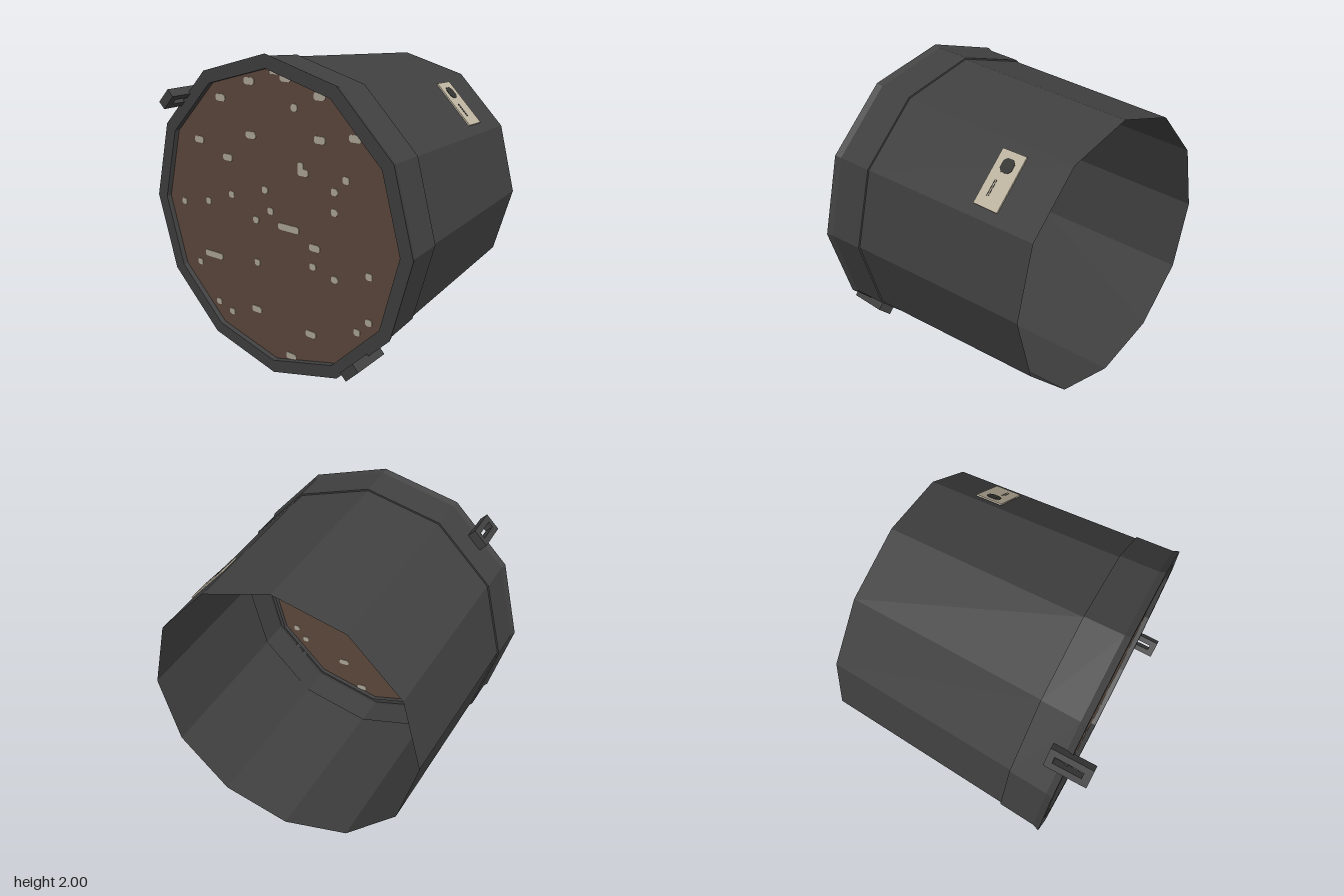
import * as THREE from 'three';

const plastic = new THREE.MeshStandardMaterial({ color: 0x404040, side: THREE.DoubleSide });
plastic.name = 'dark plastic';
const soilBrown = new THREE.MeshStandardMaterial({ color: 0x5d493d, side: THREE.DoubleSide });
soilBrown.name = 'soil brown';
const pebbleGrey = new THREE.MeshStandardMaterial({ color: 0xb0a999 });
pebbleGrey.name = 'pebble grey';
const labelCream = new THREE.MeshStandardMaterial({ color: 0xbfb5a1 });
labelCream.name = 'label cream';
const ink = new THREE.MeshStandardMaterial({ color: 0x343432 });
ink.name = 'ink';

const SIDES = 12;

function add(parent, name, geometry, material) {
  const mesh = new THREE.Mesh(geometry, material);
  mesh.name = name;
  parent.add(mesh);
  return mesh;
}

// Faceted twelve-sided shell around the z axis from [radius, z] pairs
function shell(profile) {
  const points = profile.map(([r, z]) => new THREE.Vector2(r, z));
  const g = new THREE.LatheGeometry(points, SIDES).rotateX(Math.PI / 2).toNonIndexed();
  g.computeVertexNormals();
  return g;
}

// Thin plate with clipped corners, lying in XY and centred on z = 0
function chip(w, h, thick) {
  const c = Math.min(w, h) * 0.25, x = w / 2, y = h / 2;
  const corners = [[-x + c, -y], [x - c, -y], [x, -y + c], [x, y - c],
    [x - c, y], [-x + c, y], [-x, y - c], [-x, -y + c]];
  const shape = new THREE.Shape(corners.map(([a, b]) => new THREE.Vector2(a, b)));
  return new THREE.ExtrudeGeometry(shape, { depth: thick, bevelEnabled: false })
    .translate(0, 0, -thick / 2);
}

// Handle tab: a plate with a long slot, turned to lie on the rim
function tabGeometry() {
  const rect = (Type, x, z0, z1) => new Type([[-x, z0], [x, z0], [x, z1], [-x, z1]]
    .map(([a, b]) => new THREE.Vector2(a, b)));
  const shape = rect(THREE.Shape, 0.06, 0.56, 0.82);
  shape.holes.push(rect(THREE.Path, 0.02, 0.6, 0.775));
  return new THREE.ExtrudeGeometry(shape, { depth: 0.058, bevelEnabled: false })
    .rotateX(Math.PI / 2).translate(0, 1.008, 0);
}

export function createModel() {
  const model = new THREE.Group();
  model.name = 'plantPot';
  const pot = new THREE.Group();
  pot.name = 'pot';
  pot.position.y = 1;
  model.add(pot);

  // Open tapered wall, and the rim with its inward lip
  add(pot, 'potWall', shell([[0.878, -0.82], [0.959, 0.4]]), plastic);
  add(pot, 'rim', shell([[0.959, 0.4], [0.969, 0.4], [0.985, 0.64], [1, 0.68],
    [0.917, 0.68], [0.917, 0.61]]), plastic);

  // Handle tabs on opposite sides of the rim
  [['rightTab', 0.25], ['leftTab', 1.25]].forEach(([name, turn]) => {
    add(pot, name, tabGeometry(), plastic).rotation.z = Math.PI * turn;
  });

  // Soil disc with pebbles that show on both faces
  const soilZ = 0.645;
  add(pot, 'soil', new THREE.CircleGeometry(0.917, SIDES), soilBrown).position.z = soilZ;
  const pebbles = new THREE.Group();
  pebbles.name = 'pebbles';
  pot.add(pebbles);
  const scatter = (w, h, spots) => {
    const g = chip(w, h, 0.008);
    spots.forEach(([x, y]) => add(pebbles, 'pebble', g, pebbleGrey).position.set(x, y - 1, soilZ));
  };
  scatter(0.045, 0.042, [[0.18, 1.71], [0.54, 1.35], [0.46, 1.27], [0.46, 1.15], [-0.06, 1.19],
    [-0.02, 1.065], [-0.34, 1.11], [-0.55, 1.03], [-0.78, 0.985], [-0.14, 0.985], [0.3, 0.785],
    [0.46, 0.745], [0.7, 0.825], [0.7, 0.545], [0.62, 0.46], [-0.14, 0.705], [-0.66, 0.585],
    [-0.5, 0.34], [-0.38, 0.3]]);
  scatter(0.078, 0.042, [[0.12, 1.87], [-0.16, 1.83], [0.36, 1.79], [-0.4, 1.71], [0.36, 1.55],
    [0.6, 1.59], [-0.16, 1.51], [-0.605, 1.425], [-0.36, 1.345], [0.315, 0.905], [-0.16, 0.38],
    [0.28, 0.34], [0.12, 0.138], [0.237, 1.345]]);
  scatter(0.16, 0.042, [[0.12, 0.985], [-0.525, 0.665]]);
  scatter(0.043, 0.07, [[0.22, 1.368]]);
  scatter(0.07, 0.024, [[0.04, 1.897]]);

  // Plant label on the upper left face, following the taper
  const turn = new THREE.Group();
  turn.name = 'labelMount';
  turn.rotation.z = -Math.PI / 4;
  pot.add(turn);
  const label = new THREE.Group();
  label.name = 'label';
  label.position.set(-0.005, 0.879, -0.465);
  label.rotation.x = -0.064;
  turn.add(label);
  add(label, 'labelCard', new THREE.BoxGeometry(0.34, 0.009, 0.166), labelCream);
  const blot = add(label, 'labelPicture', chip(0.085, 0.08, 0.004), ink);
  blot.rotation.x = -Math.PI / 2;
  blot.position.set(-0.085, 0.005, 0);
  [0.017, 0.028].forEach((z) => {
    add(label, 'labelLine', new THREE.BoxGeometry(0.1, 0.003, 0.004), ink).position.set(0.055, 0.0045, z);
  });

  return model;
}
